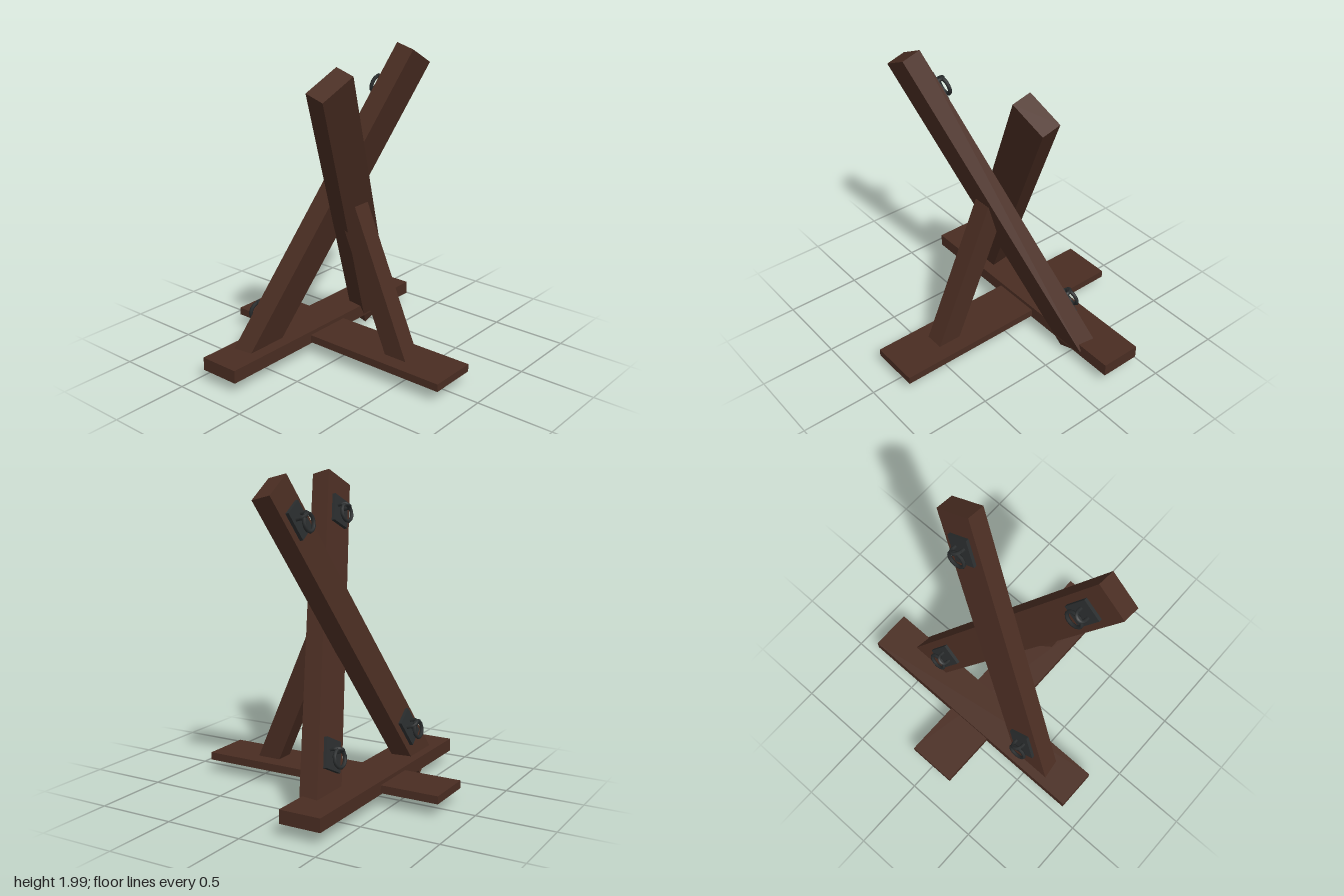
import * as THREE from 'three';

const rad = THREE.MathUtils.degToRad;

export function createModel() {
  const wood = new THREE.MeshStandardMaterial({ color: 0x4a2d22, side: THREE.DoubleSide });
  wood.name = 'dark wood';
  const iron = new THREE.MeshStandardMaterial({ color: 0x2a2d2e });
  iron.name = 'dark iron';

  const model = new THREE.Group();
  model.name = 'crossFrame';

  const add = (parent, name, geometry, material, x, y, z) => {
    const mesh = new THREE.Mesh(geometry, material);
    mesh.name = name;
    mesh.position.set(x, y, z);
    parent.add(mesh);
    return mesh;
  };

  // Base planks: shells with no underside
  const shell = (w, h, d) => {
    const g = new THREE.BoxGeometry(w, h, d);
    const index = Array.from(g.index.array);
    index.splice(18, 6);
    g.setIndex(index);
    g.clearGroups();
    return g;
  };
  add(model, 'crossPlank', shell(1.72, 0.085, 0.27), wood, 0, 0.128, -0.312);
  add(model, 'longPlank', shell(0.327, 0.05, 1.65), wood, -0.01, 0.12, 0);

  // Slanted prop at the front
  const prop = add(model, 'prop', new THREE.BoxGeometry(0.124, 1.016, 0.145), wood, -0.012, 0.571, 0.246);
  prop.rotation.x = rad(-23.7);

  // Iron plate with a staple and a hanging ring, facing -z
  const plateGeometry = new THREE.BoxGeometry(0.147, 0.19, 0.024);
  const stapleGeometry = new THREE.TorusGeometry(0.034, 0.012, 6, 8, Math.PI);
  const legGeometry = new THREE.CylinderGeometry(0.012, 0.012, 0.03, 6);
  const ringGeometry = new THREE.TorusGeometry(0.055, 0.012, 6, 12);
  const ringMount = () => {
    const g = new THREE.Group();
    g.name = 'ringMount';
    add(g, 'plate', plateGeometry, iron, 0, 0, -0.01);
    const staple = add(g, 'staple', stapleGeometry, iron, 0, 0.025, -0.047);
    staple.rotation.set(-Math.PI / 2, 0, Math.PI / 2, 'YXZ');
    staple.rotation.set(-Math.PI / 2, 0, 0);
    for (const s of [-1, 1]) {
      add(g, 'stapleLeg', legGeometry, iron, s * 0.034, 0.025, -0.033).rotation.x = Math.PI / 2;
    }
    add(g, 'ring', ringGeometry, iron, 0, -0.027, -0.066).rotation.x = rad(-4);
    return g;
  };

  // Two leaning beams forming the cross, each with a ring near both ends
  const beam = (name, x, z, length, tilt, lean) => {
    const g = new THREE.Group();
    g.name = name;
    g.position.set(x, 1.007, z);
    g.rotation.set(rad(tilt), 0, rad(lean));
    add(g, name + 'Timber', new THREE.BoxGeometry(0.247, length, 0.127), wood, 0, 0, 0);
    for (const y of [0.835, -0.785]) {
      const mount = ringMount();
      mount.position.set(0, y, -0.0635);
      g.add(mount);
    }
    model.add(g);
  };
  beam('frontBeam', 0.0075, 0.023, 2.18, 16.3, 28.5);
  beam('rearBeam', -0.036, -0.113, 2.17, 14.1, -28.5);

  return model;
}
